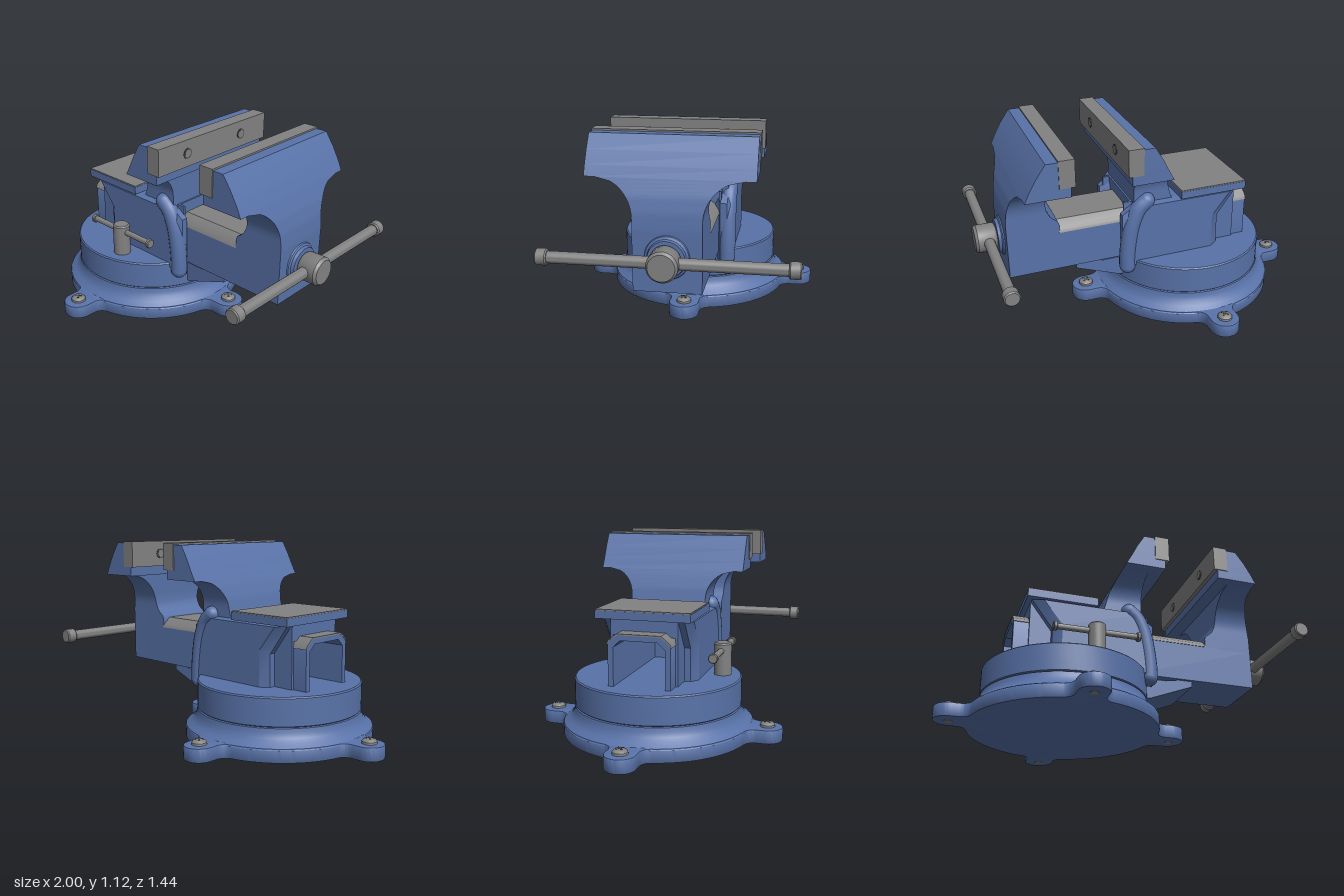
import * as THREE from 'three';
import { toCreasedNormals } from 'three/addons/utils/BufferGeometryUtils.js';

const mat = (name, color) => Object.assign(new THREE.MeshStandardMaterial({ color }), { name });

export function createModel() {
  const model = new THREE.Group();
  model.name = 'benchVise';
  const blue = mat('blue paint', 0x5872a8);
  const steel = mat('grey steel', 0x828282);
  const dark = mat('dark recess', 0x4c4c4c);
  const BX = -0.28; // centre of the swivel base

  // --- helpers ---
  const add = (name, geo, material, x = 0, y = 0, z = 0, parent = model) => {
    const mesh = new THREE.Mesh(toCreasedNormals(geo, 0.6), material);
    mesh.name = name;
    mesh.position.set(x, y, z);
    parent.add(mesh);
    return mesh;
  };
  const box = (name, m, x0, x1, y0, y1, z0, z1) =>
    add(name, new THREE.BoxGeometry(x1 - x0, y1 - y0, z1 - z0), m, (x0 + x1) / 2, (y0 + y1) / 2, (z0 + z1) / 2);
  const poly = (pts) => new THREE.Shape(pts.map(([x, y]) => new THREE.Vector2(x, y)));
  const extrude = (shape, depth, bevel = {}) =>
    new THREE.ExtrudeGeometry(shape, { depth, bevelEnabled: false, curveSegments: 16, ...bevel });
  const lathe = (pts, n = 32) => new THREE.LatheGeometry(pts.map(([r, y]) => new THREE.Vector2(r, y)), n);
  // Symmetric section in (z, y), given as its +z half, swept along x
  const sweepX = (outer, inner, x0, x1) => {
    const flip = (pts) => pts.map(([z, y]) => [-z, y]).reverse();
    const shape = poly([...outer, ...flip(outer), ...inner.map(([z, y]) => [-z, y]), ...[...inner].reverse()]);
    return extrude(shape, x1 - x0).rotateY(Math.PI / 2).translate(x0, 0, 0);
  };
  // Stack of rectangles [y, xMin, xMax, halfWidth]
  const loft = (rows) => {
    const pos = [], idx = [], last = (rows.length - 1) * 4;
    for (const [y, a, b, w] of rows) pos.push(a, y, w, b, y, w, b, y, -w, a, y, -w);
    for (let i = 0; i < last; i += 4) for (let j = 0; j < 4; j++) {
      const a = i + j, b = i + (j + 1) % 4;
      idx.push(a, b, b + 4, a, b + 4, a + 4);
    }
    idx.push(0, 2, 1, 0, 3, 2, last, last + 1, last + 2, last, last + 2, last + 3);
    const g = new THREE.BufferGeometry();
    g.setAttribute('position', new THREE.Float32BufferAttribute(pos, 3));
    g.setIndex(idx);
    return g;
  };
  // Piecewise linear lookup in [y, value] pairs
  const lookup = (pts, y) => {
    let i = 1;
    while (i < pts.length - 1 && y > pts[i][0]) i++;
    const [[y0, v0], [y1, v1]] = [pts[i - 1], pts[i]];
    return v0 + (v1 - v0) * THREE.MathUtils.clamp((y - y0) / (y1 - y0), 0, 1);
  };
  // Neck of a jaw, flaring sideways into the wide head at y = 0.905
  const neck = (y0, inner, outer, half, r) => {
    const rows = [];
    for (let i = 0; i <= 20; i++) {
      const y = y0 + (0.905 - y0) * i / 20;
      const t = Math.max(0, y - (0.905 - r));
      rows.push([y, inner(y), outer(y), half + r - Math.sqrt(Math.max(0, r * r - t * t))]);
    }
    return rows;
  };

  // --- base flange with four bolt ears ---
  const R = 0.545, f = 0.06, ear = 0.085, earAt = 0.635;
  const t = Math.asin((ear + f) / (R + f)), H = Math.PI / 2;
  const plan = new THREE.Shape();
  for (let k = 0; k < 4; k++) {
    const a = k * H;
    const arc = (d, ang, r, s, e, cw) => plan.absarc(d * Math.cos(ang), d * Math.sin(ang), r, s, e, cw);
    arc(R + f, a - t, f, a - t + Math.PI, a + H, true);
    arc(earAt, a, ear, a - H, a + H, false);
    arc(R + f, a + t, f, a - H, a + t - Math.PI, true);
    arc(0, 0, R, a + t, a + H - t, false);
  }
  add('baseFlange', extrude(plan, 0.064, {
    bevelEnabled: true, bevelSize: 0.008, bevelOffset: -0.008, bevelThickness: 0.008, bevelSegments: 2,
  }).rotateX(-H), blue, BX, 0.008, 0);
  add('baseFlare', lathe([[0.548, 0.07], [0.535, 0.083], [0.51, 0.098], [0.492, 0.12], [0.482, 0.145],
    [0.478, 0.168], [0.468, 0.173], [0, 0.173]], 72), blue, BX);
  add('swivelDisc', lathe([[0, 0.17], [0.47, 0.172], [0.477, 0.178], [0.477, 0.328], [0.47, 0.335], [0, 0.335]], 72), blue, BX);

  // --- bolts in the ears ---
  for (let k = 0; k < 4; k++) {
    const bolt = new THREE.Group();
    bolt.name = 'baseBolt';
    bolt.position.set(BX + earAt * Math.cos(k * H), 0.08, earAt * Math.sin(k * H));
    add('boltHead', lathe([[0.042, 0], [0.041, 0.012], [0.032, 0.022], [0.018, 0.027], [0, 0.028]], 24), steel, 0, 0, 0, bolt);
    for (const s of [0, 1]) {
      const slot = add('boltCross', new THREE.BoxGeometry(0.044, 0.006, 0.009), dark, 0, 0.0255, 0, bolt);
      slot.rotation.y = Math.PI / 4 + s * H;
    }
    add('boltTip', new THREE.CylinderGeometry(0.024, 0.024, 0.004, 20), steel, 0, -0.08, 0, bolt);
    model.add(bolt);
  }

  // --- fixed body: open underneath around the slide ---
  box('bodyRoof', blue, -0.535, 0.13, 0.6, 0.69, -0.19, 0.19);
  const flank = poly([[-0.47, 0.68], [-0.36, 0.54], [-0.36, 0.31], [0.14, 0.31], [0.14, 0.6], [0.06, 0.66], [0.06, 0.68]]);
  for (const s of [1, -1]) {
    box('bodyWall', blue, -0.535, 0.17, 0.32, 0.69, s > 0 ? 0.176 : -0.19, s > 0 ? 0.19 : -0.176);
    const g = extrude(flank, 0.04, {
      bevelEnabled: true, bevelSize: 0.05, bevelOffset: 0, bevelThickness: 0.035, bevelSegments: 1,
    });
    // Keep the flank below the roof line
    const p = g.attributes.position;
    for (let i = 0; i < p.count; i++) p.setY(i, Math.min(p.getY(i), 0.69));
    add('bodyFlank', g, blue, 0, 0, s > 0 ? 0.15 + 0.035 : -0.225);
    // Rounded rib along the front edge
    const path = new THREE.CatmullRomCurve3([[0.045, 0.7], [0.09, 0.66], [0.13, 0.57], [0.152, 0.46], [0.162, 0.36], [0.163, 0.295]]
      .map(([x, y]) => new THREE.Vector3(x, y, s * 0.225)));
    add('bodyRib', new THREE.TubeGeometry(path, 32, 0.048, 16), blue);
    for (const u of [0, 1]) {
      const e = path.getPoint(u);
      add('bodyRibEnd', new THREE.SphereGeometry(0.048, 16, 12), blue, e.x, e.y, e.z);
    }
  }
  add('frontTongue', extrude(poly([[0, 0.2], [0.19, 0.2], [0.455, 0.302], [0.455, 0.334], [0.37, 0.334], [0.29, 0.32], [0, 0.32]]), 0.32),
    blue, 0, 0, -0.16);

  // --- anvil ---
  box('anvilPlate', blue, -0.565, -0.155, 0.69, 0.734, -0.27, 0.265);
  box('anvilFace', steel, -0.563, -0.157, 0.734, 0.741, -0.268, 0.263);

  // --- fixed jaw ---
  const fixedBack = [[0.6, -0.115], [0.68, -0.115], [0.72, -0.1], [0.8, -0.08], [0.87, -0.052], [0.905, -0.035],
    [0.96, -0.005], [1.03, 0.03], [1.105, 0.075]];
  const fb = (y) => lookup(fixedBack, y);
  add('fixedJaw', loft([...neck(0.6, fb, () => 0.12, 0.225, 0.155),
    [0.905, fb(0.905), 0.203, 0.432], [0.96, fb(0.96), 0.203, 0.432], [0.96, fb(0.96), 0.143, 0.432],
    [1.03, fb(1.03), 0.143, 0.432], [1.105, fb(1.105), 0.143, 0.432]]), blue);

  // --- sliding bar: blue channel with a steel top ---
  const top = [[0.175, 0.565], [0.165, 0.583], [0.12, 0.617]];
  const steelTop = [[0.181, 0.565], [0.172, 0.586], [0.124, 0.625]];
  add('slideChannel', sweepX([[0.175, 0.335], ...top], [[0.145, 0.335], [0.145, 0.55], [0.105, 0.588]], -0.622, 0.55), blue);
  add('slideTop', sweepX(steelTop, top, -0.625, 0.55), steel);

  // --- moving jaw with its solid lower block ---
  const movingInner = [[0.57, 0.545], [0.635, 0.548], [0.65, 0.575], [0.675, 0.598], [0.71, 0.615], [0.75, 0.621], [0.905, 0.621]];
  const movingOuter = [[0.57, 0.845], [0.66, 0.845], [0.74, 0.837], [0.82, 0.818], [0.905, 0.783], [0.96, 0.757],
    [1.03, 0.717], [1.105, 0.664]];
  const mo = (y) => lookup(movingOuter, y);
  add('slideBlock', new THREE.BoxGeometry(0.745, 0.234, 0.354), blue, 0.4725, 0.452, 0);
  add('movingJaw', loft([...neck(0.55, (y) => lookup(movingInner, y), mo, 0.177, 0.2),
    [0.905, 0.537, mo(0.905), 0.432], [0.96, 0.537, mo(0.96), 0.432], [0.96, 0.597, mo(0.96), 0.432],
    [1.03, 0.597, mo(1.03), 0.432], [1.105, 0.597, mo(1.105), 0.432]]), blue);

  // --- jaw pads and their screws ---
  for (const [x0, x1, face] of [[0.14, 0.226, 0.226], [0.514, 0.6, 0.514]]) {
    box('jawPad', steel, x0, x1, 0.96, 1.114, -0.437, 0.437);
    for (const z of [-0.22, 0.22]) {
      add('padScrew', new THREE.CylinderGeometry(0.03, 0.03, 0.006, 20).rotateZ(H), dark, face, 1.037, z);
      add('padScrewHead', new THREE.CylinderGeometry(0.022, 0.022, 0.009, 20).rotateZ(H), steel, face, 1.037, z);
    }
  }

  // --- spindle and main handle ---
  const SY = 0.52;
  add('spindleCollar', lathe([[0.118, 0], [0.112, 0.012], [0.1, 0.018], [0.095, 0.035], [0, 0.037]], 40).rotateZ(-H), blue, 0.84, SY, 0);
  add('spindleHead', lathe([[0.06, 0], [0.075, 0.008], [0.08, 0.016], [0.08, 0.11], [0.068, 0.125], [0, 0.125]], 36).rotateZ(-H),
    steel, 0.873, SY, 0);
  // Bar along y with a knob at each end
  const bar = (name, length, r, knobR, knobL) => {
    const h = length / 2, c = knobR * 0.15;
    const half = [[r, 0], [r, h - knobL], [knobR - c, h - knobL], [knobR, h - knobL + c], [knobR, h - c], [knobR - c, h], [0, h]];
    const g = new THREE.Group();
    g.name = name;
    for (const s of [0, 1]) add(name + 'Half', lathe(half, 24).rotateX(s * Math.PI), steel, 0, 0, 0, g);
    model.add(g);
    return g;
  };
  const handle = bar('mainHandle', 1.31, 0.031, 0.043, 0.06);
  handle.position.set(0.923, SY, -0.008);
  handle.rotation.x = H;

  // --- swivel lock bolt and its small handle ---
  add('lockBolt', lathe([[0.05, 0.33], [0.05, 0.512], [0.042, 0.52], [0, 0.52]], 28), steel, -0.187, 0, 0.355);
  const lock = bar('lockHandle', 0.5, 0.017, 0.027, 0.022);
  lock.position.set(-0.185, 0.477, 0.355);
  lock.rotation.z = H;

  return model;
}
